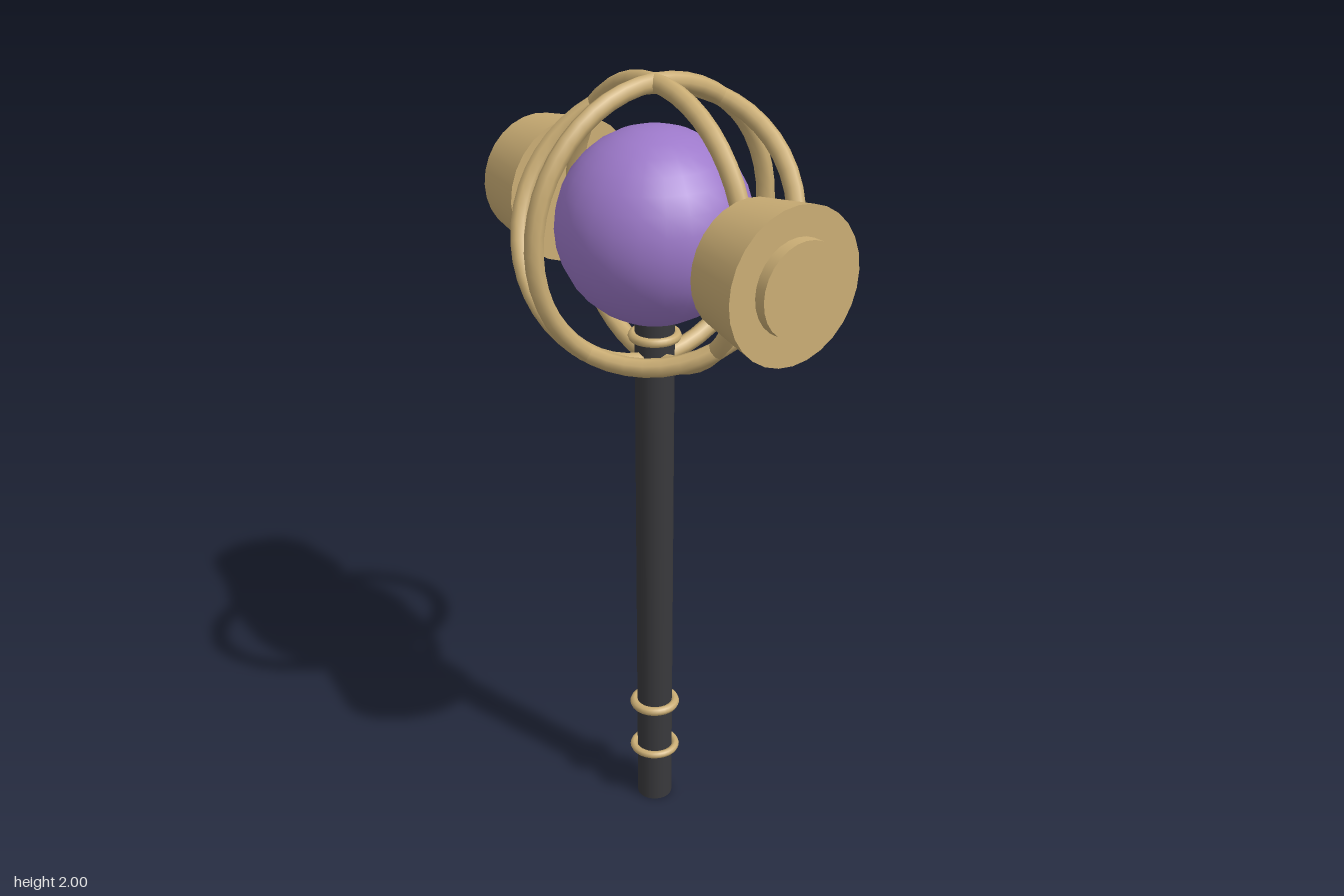
import * as THREE from 'three';

const gold = new THREE.MeshStandardMaterial({ color: 0xcbae75 });
gold.name = 'gold';
const purple = new THREE.MeshStandardMaterial({ color: 0x9d79ca });
purple.name = 'purple';
const charcoal = new THREE.MeshStandardMaterial({ color: 0x39393c });
charcoal.name = 'charcoal';

const CENTER_Y = 1.638; // height of the orb

export function createModel() {
  const model = new THREE.Group();
  model.name = 'orbMace';

  function add(name, geometry, material, x = 0, y = 0, z = 0, parent = model) {
    const mesh = new THREE.Mesh(geometry, material);
    mesh.name = name;
    mesh.position.set(x, y, z);
    parent.add(mesh);
    return mesh;
  }

  // Shaft, very slightly wider at the top
  add('shaft', new THREE.CylinderGeometry(0.049, 0.046, 1.42, 20), charcoal, 0, 0.71);

  // Thin bands around the shaft
  for (const [name, y, r] of [['lowerBand', 0.155, 0.01], ['upperBand', 0.295, 0.012], ['neckBand', 1.36, 0.012]]) {
    add(name, new THREE.TorusGeometry(0.066 - r, r, 8, 32), gold, 0, y).rotation.x = Math.PI / 2;
  }

  // Orb
  add('orb', new THREE.SphereGeometry(0.238, 24, 16), purple, 0, CENTER_Y);

  // Cage of three rings, each given by the normal of its plane
  const cage = new THREE.Group();
  cage.name = 'cage';
  cage.position.y = CENTER_Y;
  model.add(cage);
  const zAxis = new THREE.Vector3(0, 0, 1);
  const normals = { frontRing: [0, 0, 1], sideRing: [1, 0, 0], tiltedRing: [0.5, 0.5, Math.SQRT1_2] };
  for (const [name, n] of Object.entries(normals)) {
    const ring = add(name, new THREE.TorusGeometry(0.339, 0.023, 8, 48), gold, 0, 0, 0, cage);
    ring.quaternion.setFromUnitVectors(zAxis, new THREE.Vector3(...n));
  }

  // Two hammer heads, both widening towards +x, each with a raised outer disc
  for (const [side, s] of [['left', 1], ['right', -1]]) {
    add(side + 'Head', new THREE.CylinderGeometry(0.184, 0.156, 0.168, 28), gold, s * 0.424, CENTER_Y)
      .rotation.z = -Math.PI / 2;
    add(side + 'HeadDisc', new THREE.CylinderGeometry(0.113, 0.113, 0.06, 28), gold, s * 0.507, CENTER_Y)
      .rotation.z = -Math.PI / 2;
  }

  return model;
}
